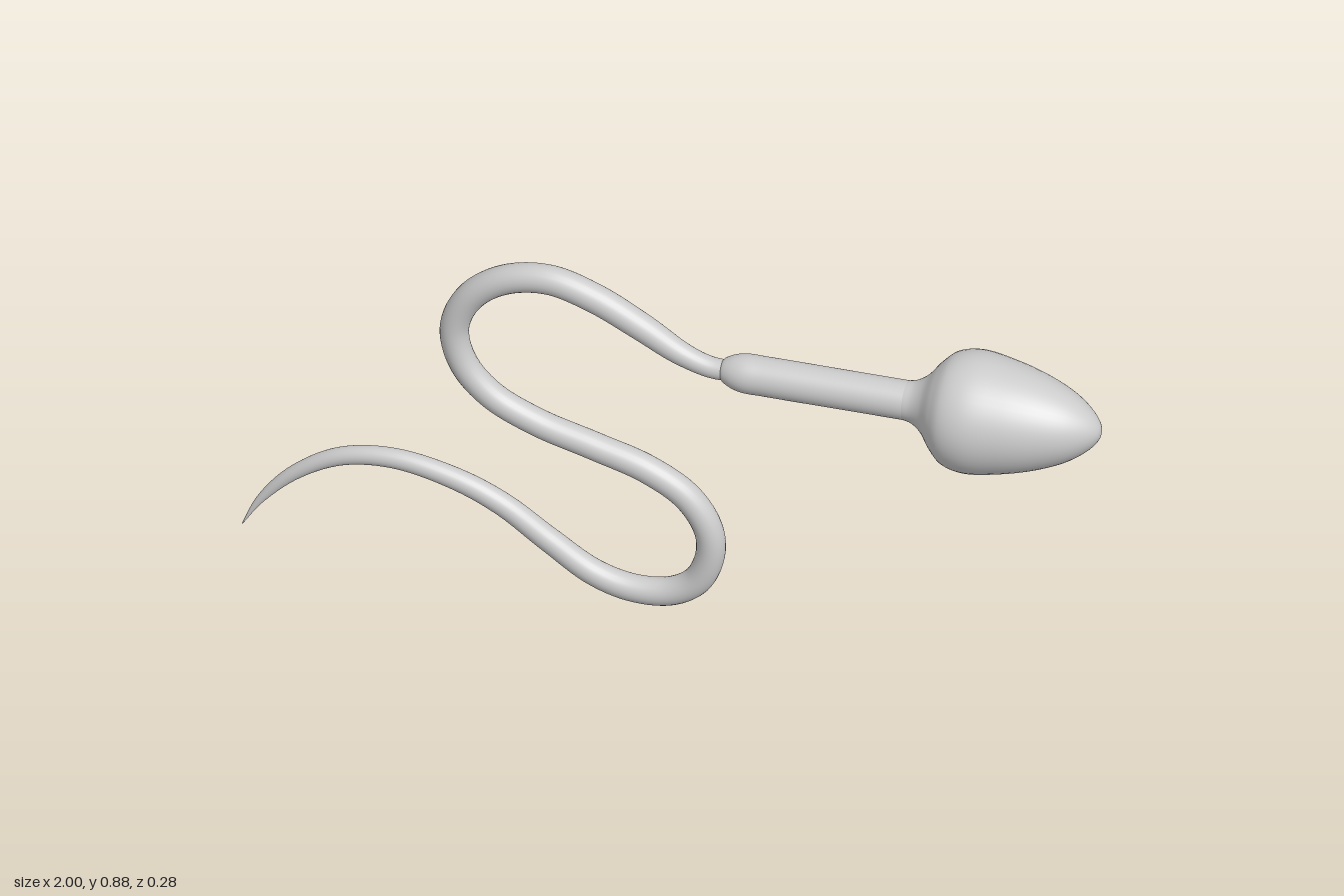
import * as THREE from 'three';

const AXIS_Y = 0.682;

// Smooth curve through [x, y] pairs
const spline = (pts) => new THREE.CatmullRomCurve3(pts.map(([x, y]) => new THREE.Vector3(x, y, 0)), false, 'centripetal');

// Solid of revolution along x from [x, radius] pairs, rear to front
function turned(name, profile, samples, material) {
  const pts = spline(profile).getPoints(samples).map((p) => new THREE.Vector2(Math.max(p.y, 0), p.x));
  const geometry = new THREE.LatheGeometry(pts, 48);
  geometry.rotateZ(-Math.PI / 2);
  const mesh = new THREE.Mesh(geometry, material);
  mesh.name = name;
  mesh.position.y = AXIS_Y;
  return mesh;
}

// Tube whose radius follows [u, radius] stops along the path
function taperedTube(path, stops, segments, sides) {
  const radius = spline(stops).getPoints(400);
  const radiusAt = (u) => {
    const i = Math.max(1, radius.findIndex((p) => p.x >= u - 1e-6));
    const a = radius[i - 1], b = radius[i];
    return THREE.MathUtils.mapLinear(u, a.x, b.x, a.y, b.y);
  };
  const geometry = new THREE.TubeGeometry(path, segments, 1, sides);
  const pos = geometry.attributes.position;
  const v = new THREE.Vector3();
  for (let i = 0; i <= segments; i++) {
    const centre = path.getPointAt(i / segments);
    const r = Math.max(radiusAt(i / segments), 0.0005);
    for (let j = 0; j <= sides; j++) {
      const k = i * (sides + 1) + j;
      v.fromBufferAttribute(pos, k).sub(centre).multiplyScalar(r).add(centre);
      pos.setXYZ(k, v.x, v.y, v.z);
    }
  }
  return geometry;
}

export function createModel() {
  const group = new THREE.Group();
  const material = new THREE.MeshStandardMaterial({ color: 0xcccccc });

  // Teardrop head flaring out of the neck
  group.add(turned('head', [
    [0.54, 0.044], [0.565, 0.05], [0.59, 0.067], [0.62, 0.104], [0.65, 0.13], [0.7, 0.141],
    [0.78, 0.13], [0.86, 0.108], [0.93, 0.077], [0.975, 0.043], [0.994, 0.018], [0.999, 0],
  ], 80, material));

  // Straight neck with a rounded rear end
  group.add(turned('neck', [
    [0.115, 0], [0.117, 0.022], [0.135, 0.035], [0.165, 0.044], [0.22, 0.045], [0.4, 0.045], [0.56, 0.045],
  ], 50, material));

  // Winding tail that thins to a point
  const path = spline([
    [0.15, 0.682], [0.09, 0.683], [0.024, 0.706], [-0.07, 0.762], [-0.18, 0.82], [-0.286, 0.85],
    [-0.388, 0.83], [-0.468, 0.767], [-0.505, 0.676], [-0.484, 0.58], [-0.42, 0.505], [-0.313, 0.45],
    [-0.18, 0.41], [-0.056, 0.37], [0.035, 0.313], [0.083, 0.238], [0.09, 0.168], [0.06, 0.088],
    [0, 0.045], [-0.088, 0.035], [-0.18, 0.06], [-0.286, 0.13], [-0.393, 0.206], [-0.5, 0.254],
    [-0.644, 0.283], [-0.767, 0.265], [-0.874, 0.2], [-0.955, 0.11], [-0.998, 0.032],
  ]);
  path.arcLengthDivisions = 1000;
  const stops = [
    [0, 0.024], [0.03, 0.025], [0.07, 0.031], [0.14, 0.034], [0.35, 0.032], [0.6, 0.033],
    [0.7, 0.029], [0.8, 0.025], [0.9, 0.02], [0.96, 0.012], [1, 0.001],
  ];
  const tail = new THREE.Mesh(taperedTube(path, stops, 260, 24), material);
  tail.name = 'tail';
  group.add(tail);

  return group;
}
